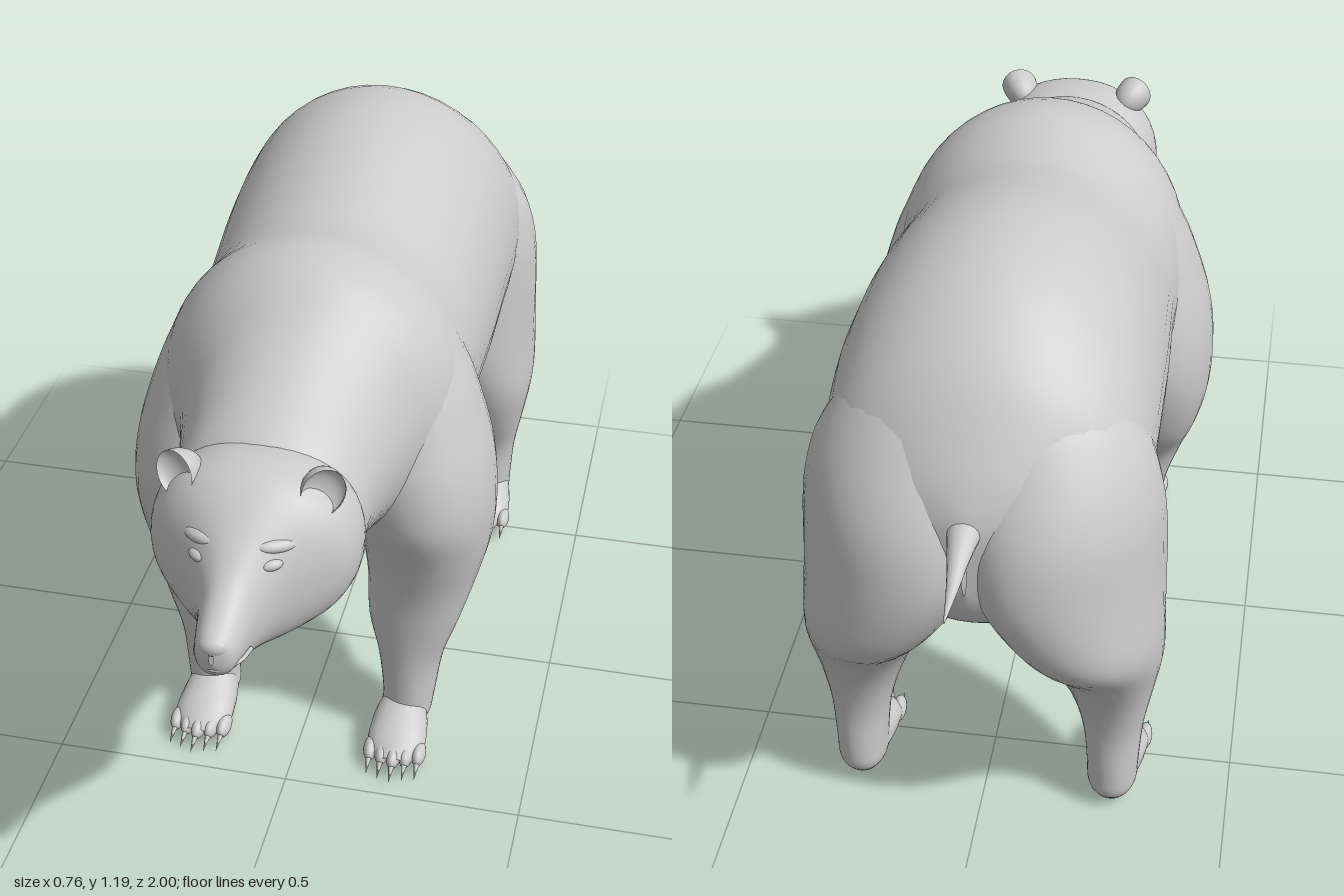
import * as THREE from 'three';

const material = new THREE.MeshStandardMaterial({ color: 0xcccccc });

function addMesh(parent, name, geometry) {
  const mesh = new THREE.Mesh(geometry, material);
  mesh.name = name;
  parent.add(mesh);
  return mesh;
}

// Catmull-Rom subdivision of every column of a table of cross-sections
function refine(rows, steps) {
  const out = [];
  for (let i = 0; i < rows.length - 1; i++) {
    const p = [-1, 0, 1, 2].map(k => rows[Math.min(Math.max(i + k, 0), rows.length - 1)]);
    for (let s = 0; s < steps; s++) {
      const t = s / steps;
      out.push(p[1].map((b, c) => {
        const a = p[0][c], d = p[2][c], e = p[3][c];
        return b + 0.5 * t * (d - a + t * (2 * a - 5 * b + 4 * d - e + t * (3 * (b - d) + e - a)));
      }));
    }
  }
  out.push(rows[rows.length - 1]);
  return out;
}

// Skin over rings [position, centre1, centre2, radius1, radius2], position rising along y or z;
// a power below 1 makes the rings squarer than an ellipse
function loft(rows, axis, { sides = 36, steps = 4, floor = -1, power = 1 } = {}) {
  const rings = refine(rows, steps), pos = [], index = [];
  const bulge = v => Math.sign(v) * Math.abs(v) ** power;
  for (const [t, a, b, r, q] of rings) {
    for (let j = 0; j < sides; j++) {
      const ang = j / sides * Math.PI * 2;
      const u = a + bulge(Math.cos(ang)) * Math.max(r, 0.001), v = bulge(Math.sin(ang)) * Math.max(q, 0.001);
      if (axis === 'z') pos.push(u, Math.max(b + v, floor), t);
      else pos.push(u, t, b - v);
    }
  }
  for (let i = 0; i < rings.length - 1; i++) {
    for (let j = 0; j < sides; j++) {
      const k = (j + 1) % sides, a = i * sides, b = a + sides;
      index.push(a + j, a + k, b + j, a + k, b + k, b + j);
    }
  }
  const g = new THREE.BufferGeometry();
  g.setAttribute('position', new THREE.Float32BufferAttribute(pos, 3));
  g.setIndex(index);
  g.computeVertexNormals();
  return g;
}

// Profile rows [z, bottom, top, half width] to ring rows
const profile = rows => rows.map(([z, lo, hi, w]) => [z, 0, (lo + hi) / 2, w, (hi - lo) / 2]);

function ellipsoid(rx, ry, rz) {
  return new THREE.SphereGeometry(1, 20, 14).scale(rx, ry, rz);
}

// Paw with toes and claws, ankle at the origin
function makePaw() {
  const paw = new THREE.Group();
  paw.name = 'paw';
  addMesh(paw, 'foot', loft(profile([
    [-0.07, 0.03, 0.05, 0.004], [-0.055, 0.012, 0.075, 0.035], [0, 0, 0.112, 0.053],
    [0.05, 0, 0.098, 0.061], [0.1, 0.003, 0.076, 0.06], [0.145, 0.015, 0.045, 0.03]
  ]), 'z', { sides: 24, floor: 0.008 }));
  for (let i = -2; i <= 2; i++) {
    const x = i * 0.026, z = 0.125 - Math.abs(i) * 0.009;
    addMesh(paw, 'toe', ellipsoid(0.0155, 0.022, 0.034)).position.set(x, 0.034, z);
    const claw = addMesh(paw, 'claw', new THREE.ConeGeometry(0.008, 0.05, 8));
    claw.position.set(x, 0.025, z + 0.043);
    claw.rotation.x = Math.PI / 2 + 0.35;
  }
  return paw;
}

// Leg rows: [y, x, z, half width, half depth]
const frontRows = [
  [0.015, 0.212, 0.268, 0.035, 0.03], [0.05, 0.215, 0.262, 0.053, 0.058], [0.1, 0.22, 0.252, 0.056, 0.067],
  [0.2, 0.22, 0.237, 0.07, 0.08], [0.3, 0.224, 0.23, 0.098, 0.092], [0.4, 0.235, 0.197, 0.118, 0.135],
  [0.5, 0.24, 0.19, 0.136, 0.17], [0.6, 0.235, 0.195, 0.145, 0.2], [0.7, 0.217, 0.195, 0.152, 0.2],
  [0.8, 0.185, 0.19, 0.157, 0.185], [0.9, 0.155, 0.185, 0.15, 0.16], [1.0, 0.115, 0.18, 0.13, 0.11], [1.05, 0.08, 0.17, 0.01, 0.01]
];
const hindRows = [
  [0.02, 0.262, -0.605, 0.035, 0.045], [0.05, 0.262, -0.604, 0.05, 0.066], [0.1, 0.262, -0.603, 0.053, 0.068],
  [0.2, 0.26, -0.6, 0.062, 0.067], [0.3, 0.254, -0.59, 0.086, 0.1], [0.4, 0.24, -0.595, 0.116, 0.147],
  [0.5, 0.213, -0.62, 0.143, 0.2], [0.6, 0.19, -0.628, 0.165, 0.217], [0.7, 0.176, -0.627, 0.177, 0.218],
  [0.8, 0.165, -0.617, 0.176, 0.205], [0.9, 0.145, -0.595, 0.16, 0.17], [1.0, 0.11, -0.57, 0.115, 0.11], [1.05, 0.09, -0.55, 0.01, 0.01]
];

function makeLeg(name, rows, side, lift) {
  const leg = new THREE.Group();
  leg.name = name;
  const limb = loft(rows.map(([y, x, z, rx, rz]) => [y, x * side, z, rx, rz]), 'y', { power: 0.95 });
  // Draw the back of the upper hind leg inwards into a buttock
  const p = limb.attributes.position;
  for (let i = 0; i < p.count; i++) {
    const behind = Math.max(0, -0.6 - p.getZ(i));
    p.setX(i, p.getX(i) - side * 0.24 * behind * THREE.MathUtils.smoothstep(p.getY(i), 0.4, 0.7));
  }
  limb.computeVertexNormals();
  addMesh(leg, 'limb', limb);
  const paw = makePaw();
  paw.position.set(rows[0][1] * side, lift, rows[0][2] + 0.015);
  paw.rotation.y = side * 0.03;
  leg.add(paw);
  return leg;
}

// Ear: a flattened ball whose front half is pushed in to a cup
function earGeometry() {
  const g = new THREE.SphereGeometry(1, 24, 18), p = g.attributes.position;
  for (let i = 0; i < p.count; i++) if (p.getZ(i) > 0) p.setZ(i, p.getZ(i) * -0.35);
  g.scale(0.04, 0.046, 0.07);
  g.computeVertexNormals();
  return g;
}

function makeHead() {
  const head = new THREE.Group();
  head.name = 'head';
  addMesh(head, 'skull', loft(profile([
    [0.55, 0.66, 0.93, 0.12], [0.6, 0.618, 0.947, 0.184], [0.66, 0.61, 0.96, 0.199], [0.72, 0.617, 0.957, 0.191],
    [0.76, 0.625, 0.94, 0.166], [0.8, 0.632, 0.912, 0.125], [0.84, 0.645, 0.878, 0.084], [0.89, 0.662, 0.835, 0.055],
    [0.95, 0.685, 0.8, 0.043], [0.985, 0.703, 0.785, 0.032], [0.998, 0.735, 0.765, 0.004]
  ]), 'z', { sides: 44, power: 0.92 }));
  addMesh(head, 'nose', ellipsoid(0.028, 0.02, 0.02)).position.set(0, 0.765, 0.979);
  // Mouth seam around the muzzle
  const lip = new THREE.CatmullRomCurve3([
    [-0.05, 0.716, 0.915], [-0.04, 0.718, 0.955], [0, 0.72, 0.992], [0.04, 0.718, 0.955], [0.05, 0.716, 0.915]
  ].map(v => new THREE.Vector3(...v)));
  addMesh(head, 'lip', new THREE.TubeGeometry(lip, 24, 0.004, 8));
  for (const s of [1, -1]) {
    const label = s > 0 ? 'left' : 'right';
    const ear = addMesh(head, label + 'Ear', earGeometry());
    ear.position.set(s * 0.138, 0.932, 0.725);
    ear.rotation.set(-0.2, s * 0.4, -s * 0.45);
    const eye = addMesh(head, label + 'Eye', ellipsoid(0.022, 0.011, 0.013));
    eye.position.set(s * 0.067, 0.84, 0.83);
    eye.rotation.y = s * 0.6;
    const brow = addMesh(head, label + 'Brow', ellipsoid(0.042, 0.014, 0.02));
    brow.position.set(s * 0.07, 0.866, 0.803);
    brow.rotation.set(0, s * 0.6, -s * 0.1);
  }
  return head;
}

export function createModel() {
  const bear = new THREE.Group();
  bear.name = 'bear';

  // Trunk and neck, swelling at the shoulders and hips
  addMesh(bear, 'body', loft(profile([
    [-0.812, 0.68, 0.82, 0.005], [-0.795, 0.62, 0.87, 0.1], [-0.75, 0.56, 0.95, 0.205], [-0.65, 0.5, 1.075, 0.295],
    [-0.5, 0.475, 1.17, 0.315], [-0.35, 0.455, 1.194, 0.315], [-0.2, 0.435, 1.178, 0.312], [0, 0.437, 1.125, 0.303],
    [0.1, 0.46, 1.125, 0.308], [0.2, 0.485, 1.145, 0.31], [0.3, 0.52, 1.125, 0.285], [0.4, 0.555, 1.063, 0.228],
    [0.52, 0.59, 1.008, 0.196], [0.62, 0.615, 0.965, 0.18], [0.68, 0.68, 0.92, 0.1]
  ]), 'z', { sides: 48 }));
  bear.add(makeHead());

  for (const s of [1, -1]) {
    const label = s > 0 ? 'left' : 'right';
    bear.add(makeLeg(label + 'FrontLeg', frontRows, s, 0));
    bear.add(makeLeg(label + 'HindLeg', hindRows, s, 0.01));
  }

  // Short pointed tail
  addMesh(bear, 'tail', loft([
    [-1, 0, 0.78, 0.001, 0.001], [-0.92, 0, 0.788, 0.011, 0.009],
    [-0.85, 0, 0.808, 0.022, 0.02], [-0.76, 0, 0.825, 0.04, 0.035]
  ], 'z', { sides: 16 }));
  return bear;
}
